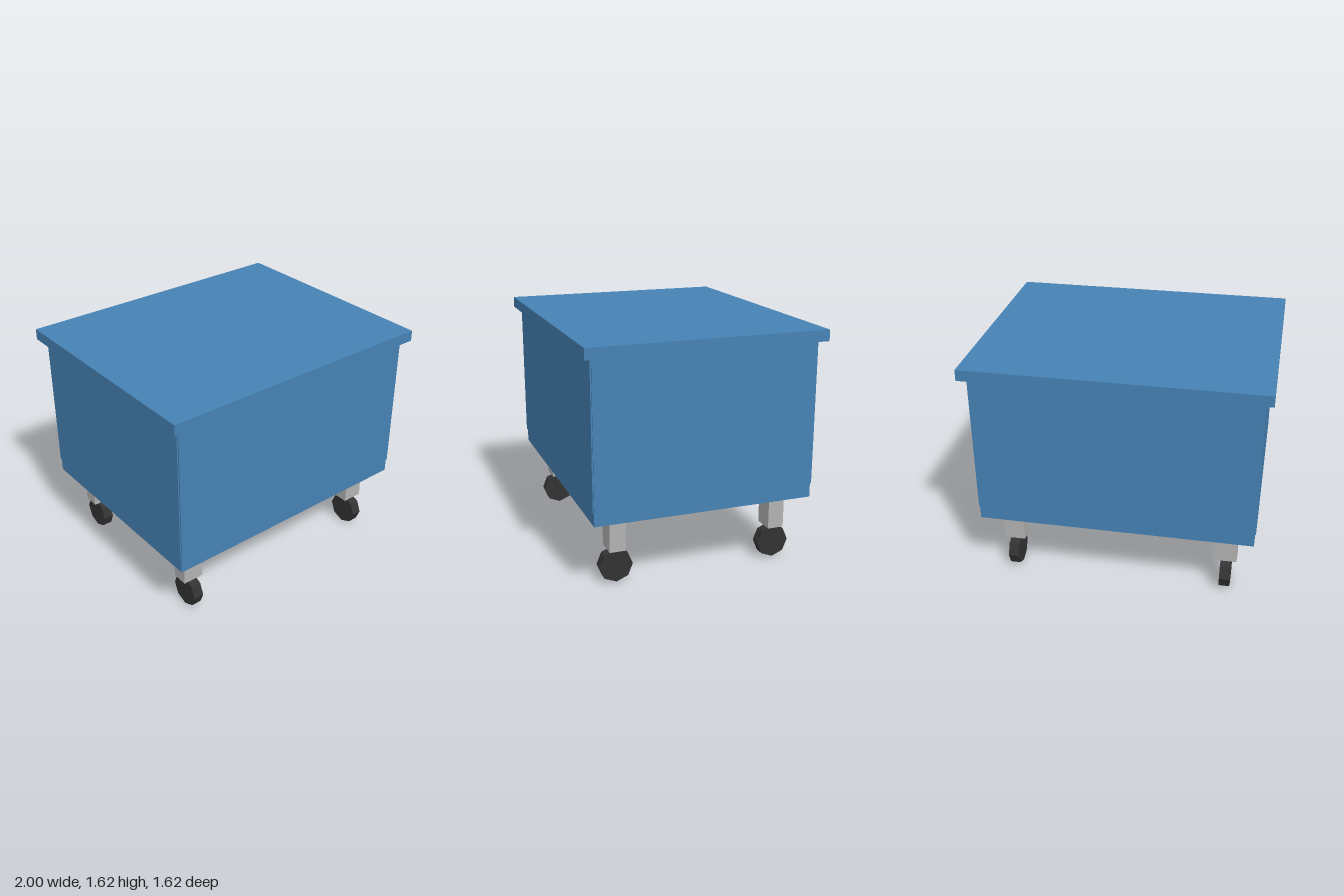
import * as THREE from 'three';

const paint = new THREE.MeshStandardMaterial({ color: 0x4682b4, flatShading: true });
const metal = new THREE.MeshStandardMaterial({ color: 0xb3b3b3, flatShading: true });
const rubber = new THREE.MeshStandardMaterial({ color: 0x333333, flatShading: true });

// Box resting on height y0 and reaching up to y1
function box(name, material, width, depth, y0, y1, x = 0, z = 0) {
  const mesh = new THREE.Mesh(new THREE.BoxGeometry(width, y1 - y0, depth), material);
  mesh.name = name;
  mesh.position.set(x, (y0 + y1) / 2, z);
  return mesh;
}

export function createModel() {
  const model = new THREE.Group();
  model.name = 'wheeledCabinet';

  // Cabinet body and overhanging lid
  model.add(box('body', paint, 1.885, 1.51, 0.475, 1.55));
  model.add(box('lid', paint, 2, 1.62, 1.55, 1.625));

  // Thin raised panels on all four sides, leaving a small notch at each corner
  for (const s of [-1, 1]) {
    model.add(box(s > 0 ? 'frontPanel' : 'backPanel', paint, 1.885, 0.02, 0.57, 1.55, 0, s * 0.7535));
    model.add(box(s > 0 ? 'leftPanel' : 'rightPanel', paint, 0.02, 1.51, 0.57, 1.55, s * 0.94, 0));
  }

  // Four casters: square leg with an eight-sided wheel standing on a corner
  const wheelGeometry = new THREE.CylinderGeometry(0.114, 0.114, 0.072, 8).rotateZ(Math.PI / 2);
  for (const x of [-0.755, 0.755]) {
    for (const z of [-0.568, 0.568]) {
      const caster = new THREE.Group();
      caster.name = (z > 0 ? 'front' : 'back') + (x > 0 ? 'Left' : 'Right') + 'Caster';
      caster.position.set(x, 0, z);
      const wheel = new THREE.Mesh(wheelGeometry, rubber);
      wheel.name = 'wheel';
      wheel.position.y = 0.114;
      caster.add(box('leg', metal, 0.15, 0.112, 0.23, 0.456), wheel);
      model.add(caster);
    }
  }
  return model;
}
